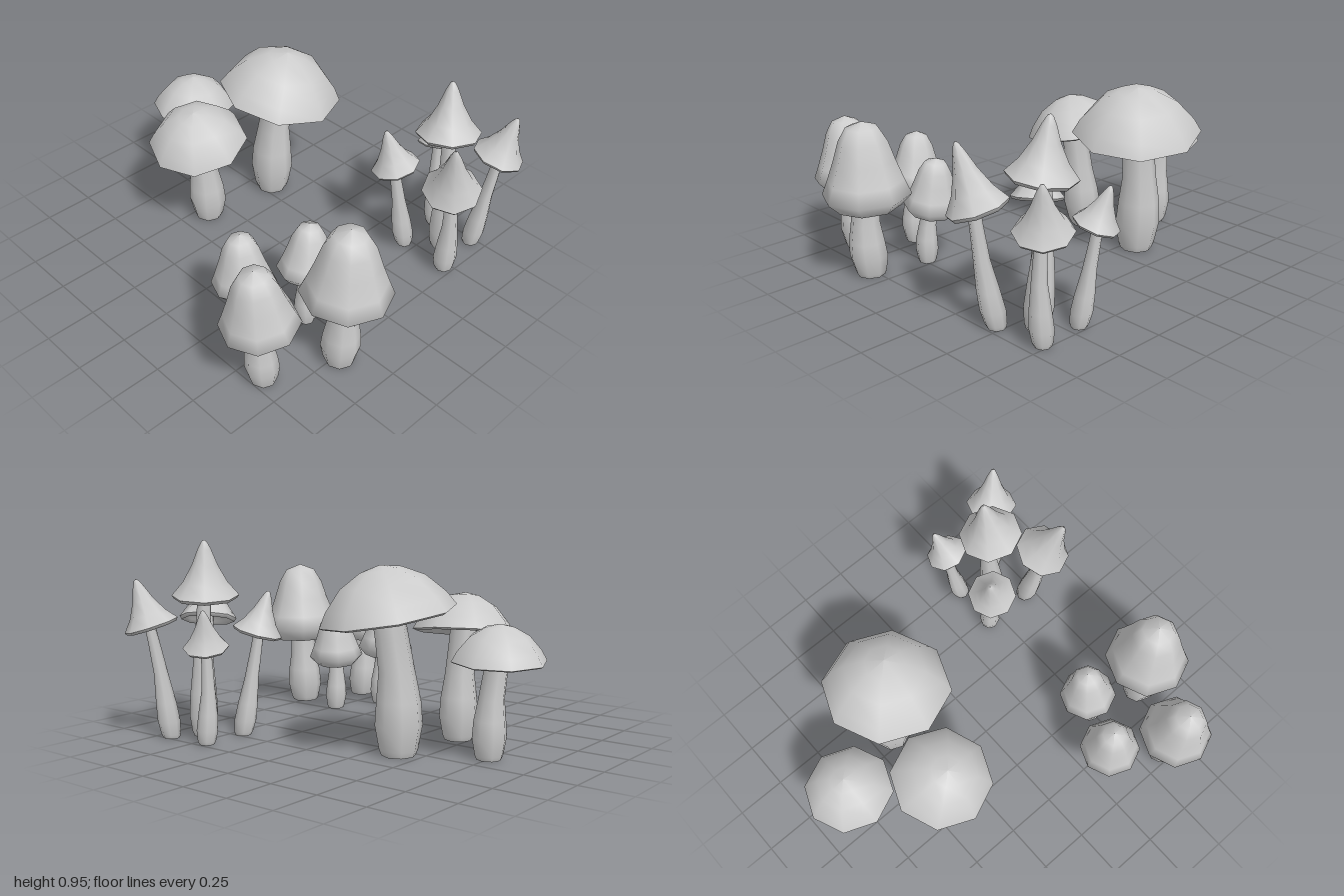
import * as THREE from 'three';

const SIDES = 8;
const material = new THREE.MeshStandardMaterial({ color: 0xcccccc, side: THREE.DoubleSide });

// Cap profiles as [radius, height] fractions: outer skin from rim to apex, underside from middle to rim
const STYLES = {
  parasol: {
    skin: [[1, 0], [0.88, 0.28], [0.62, 0.67], [0.3, 0.91], [0, 1]],
    under: [[0, 0.32], [0.5, 0.2], [0.9, 0.02], [0.94, -0.04], [1, 0]],
  },
  bell: {
    skin: [[0.72, -0.17], [1, 0], [0.86, 0.2], [0.69, 0.47], [0.55, 0.73], [0.36, 0.92], [0, 1]],
    under: [[0, 0.15], [0.6, 0.05], [0.66, -0.15], [0.72, -0.17]],
  },
  pointed: {
    skin: [[1, 0], [0.66, 0.24], [0.38, 0.55], [0.2, 0.83], [0.08, 0.97], [0, 1]],
    under: [[0, 0.3], [0.5, 0.18], [0.86, 0], [0.93, -0.06], [1, 0]],
  },
};

// Stem profile: [fraction of length, fraction of thickest radius]
const STEM = [[0, 0.72], [0.04, 0.82], [0.2, 1], [0.36, 0.93], [0.55, 0.76], [0.78, 0.7], [1, 0.68]];
const THIN_STEM = [[0, 0.72], [0.03, 0.85], [0.13, 1], [0.28, 0.9], [0.5, 0.64], [0.75, 0.52], [1, 0.45]];

const lathe = (points, rs, hs) =>
  new THREE.LatheGeometry(points.map(([r, h]) => new THREE.Vector2(r * rs, h * hs)), SIDES);

function part(name, geometry) {
  const mesh = new THREE.Mesh(geometry, material);
  mesh.name = name;
  return mesh;
}

// Stem: a turned profile whose rings are shifted along a bent path
function makeStem(base, mid, top, radius, profile) {
  const stem = new THREE.Group();
  stem.name = 'stem';
  const path = new THREE.CatmullRomCurve3([base, mid, top]);
  const length = top.y - base.y;
  const side = lathe(profile.map(([t, r]) => [r, t]), radius, length);
  const pos = side.attributes.position;
  for (let i = 0; i < pos.count; i++) {
    const c = path.getPoint(pos.getY(i) / length);
    pos.setXYZ(i, pos.getX(i) + c.x, pos.getY(i) + base.y, pos.getZ(i) + c.z);
  }
  const foot = part('stemFoot', lathe([[0, 0], [profile[0][1], 0]], radius, 1));
  foot.position.copy(base);
  stem.add(part('stemSide', side), foot);
  return stem;
}

// Cap: skin and underside, tilted along the line from rim centre to apex
function makeCap(style, rim, apex, radius) {
  const cap = new THREE.Group();
  cap.name = 'cap';
  const axis = apex.clone().sub(rim);
  const height = axis.length();
  cap.add(part('capSkin', lathe(STYLES[style].skin, radius, height)));
  cap.add(part('capUnderside', lathe(STYLES[style].under, radius, height)));
  cap.position.copy(rim);
  cap.quaternion.setFromUnitVectors(new THREE.Vector3(0, 1, 0), axis.normalize());
  return cap;
}

function makeMushroom(style, { rim, apex, r, foot, bend, stem }) {
  const mushroom = new THREE.Group();
  mushroom.name = style + 'Mushroom';
  const rimV = new THREE.Vector3(...rim), apexV = new THREE.Vector3(...apex);
  const top = rimV.clone().lerp(apexV, style === 'bell' ? 0.2 : 0.3);
  const base = new THREE.Vector3(foot[0], 0.01, foot[1]);
  const mid = new THREE.Vector3(bend[0], top.y / 2, bend[1]);
  mushroom.add(makeStem(base, mid, top, stem, style === 'pointed' ? THIN_STEM : STEM));
  mushroom.add(makeCap(style, rimV, apexV, r));
  return mushroom;
}

// rim centre, apex, cap radius, stem foot [x, z], stem middle [x, z], stem radius
const CLUSTERS = {
  parasol: [
    { rim: [-0.345, 0.64, -0.33], apex: [-0.315, 0.87, -0.355], r: 0.315, foot: [-0.39, -0.31], bend: [-0.39, -0.32], stem: 0.11 },
    { rim: [-0.425, 0.525, 0.165], apex: [-0.41, 0.71, 0.2], r: 0.25, foot: [-0.44, 0.105], bend: [-0.425, 0.13], stem: 0.095 },
    { rim: [-0.785, 0.455, -0.105], apex: [-0.79, 0.62, -0.11], r: 0.217, foot: [-0.75, -0.12], bend: [-0.755, -0.12], stem: 0.08 },
  ],
  bell: [
    { rim: [0.78, 0.425, 0.345], apex: [0.79, 0.78, 0.345], r: 0.212, foot: [0.77, 0.36], bend: [0.785, 0.365], stem: 0.092 },
    { rim: [0.627, 0.38, 0.715], apex: [0.622, 0.69, 0.745], r: 0.182, foot: [0.62, 0.69], bend: [0.62, 0.71], stem: 0.08 },
    { rim: [0.342, 0.325, 0.55], apex: [0.325, 0.59, 0.555], r: 0.15, foot: [0.365, 0.545], bend: [0.365, 0.55], stem: 0.062 },
    { rim: [0.46, 0.305, 0.265], apex: [0.45, 0.55, 0.24], r: 0.143, foot: [0.485, 0.29], bend: [0.48, 0.29], stem: 0.056 },
  ],
  pointed: [
    { rim: [0.55, 0.7, -0.595], apex: [0.525, 0.965, -0.62], r: 0.16, foot: [0.58, -0.595], bend: [0.56, -0.615], stem: 0.067 },
    { rim: [0.74, 0.56, -0.405], apex: [0.79, 0.84, -0.33], r: 0.142, foot: [0.7, -0.47], bend: [0.74, -0.425], stem: 0.058 },
    { rim: [0.395, 0.515, -0.405], apex: [0.35, 0.715, -0.37], r: 0.122, foot: [0.44, -0.47], bend: [0.41, -0.435], stem: 0.053 },
    { rim: [0.725, 0.56, -0.785], apex: [0.775, 0.78, -0.83], r: 0.13, foot: [0.67, -0.725], bend: [0.71, -0.745], stem: 0.054 },
    { rim: [0.385, 0.485, -0.752], apex: [0.35, 0.66, -0.8], r: 0.107, foot: [0.44, -0.71], bend: [0.4, -0.73], stem: 0.05 },
  ],
};

export function createModel() {
  const model = new THREE.Group();
  model.name = 'mushrooms';
  for (const [style, list] of Object.entries(CLUSTERS)) {
    const cluster = new THREE.Group();
    cluster.name = style + 'Cluster';
    list.forEach((spec) => cluster.add(makeMushroom(style, spec)));
    model.add(cluster);
  }
  return model;
}
